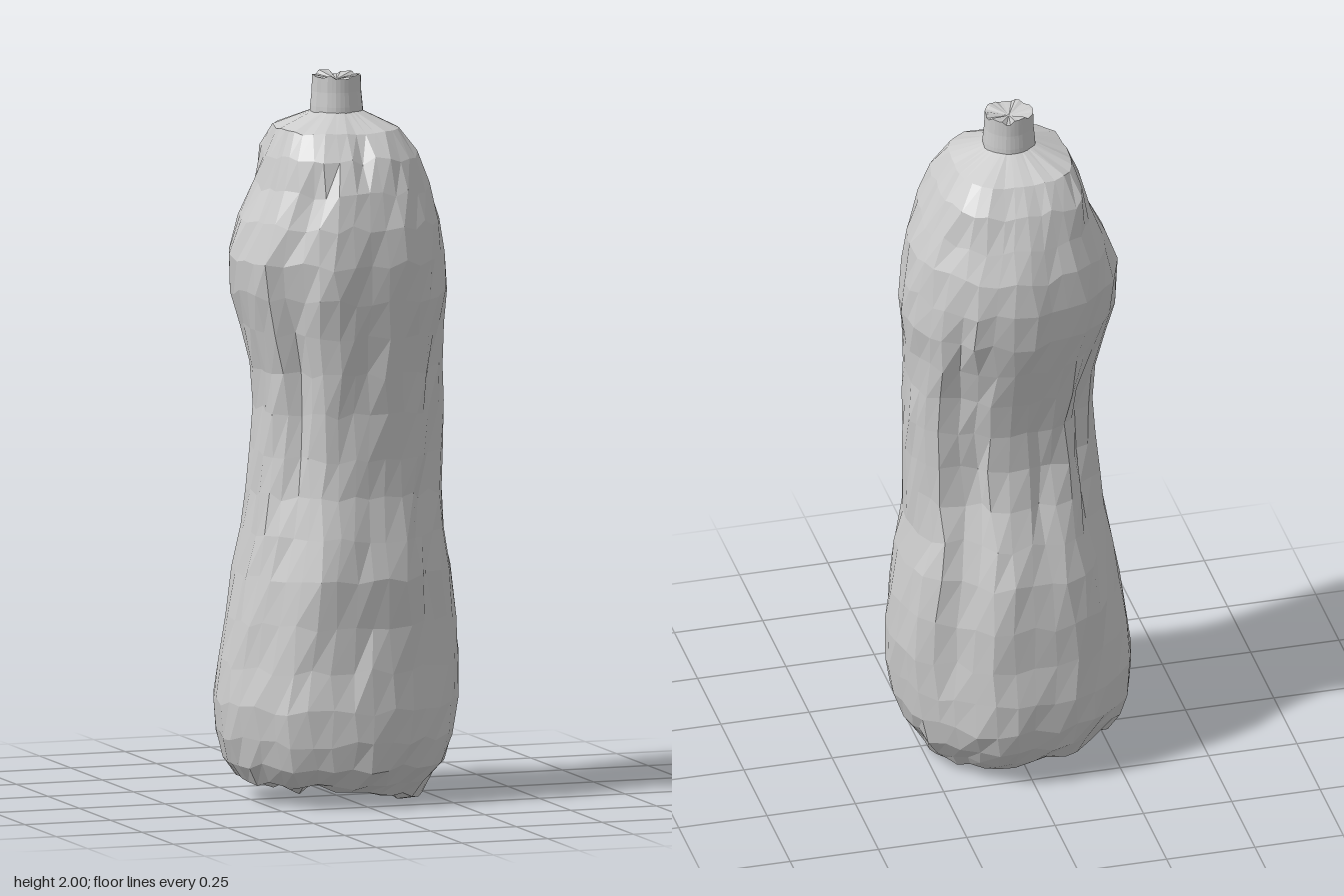
import * as THREE from 'three';

const SEG = 36;

// Repeatable noise in the range -1..1
function noise(a, b) {
  const s = Math.sin(a * 127.1 + b * 311.7) * 43758.5453;
  return (s - Math.floor(s)) * 2 - 1;
}

// Height, then reach to -x, +x, -z and +z
const SECTIONS = [
  [0.06, 0.275, 0.265, 0.25, 0.26],
  [0.11, 0.308, 0.30, 0.288, 0.298],
  [0.18, 0.333, 0.325, 0.312, 0.312],
  [0.27, 0.341, 0.335, 0.312, 0.312],
  [0.38, 0.325, 0.339, 0.302, 0.298],
  [0.50, 0.302, 0.327, 0.296, 0.29],
  [0.63, 0.277, 0.31, 0.282, 0.303],
  [0.74, 0.257, 0.292, 0.252, 0.285],
  [0.85, 0.242, 0.288, 0.217, 0.264],
  [0.96, 0.228, 0.29, 0.194, 0.252],
  [1.08, 0.222, 0.29, 0.2, 0.252],
  [1.19, 0.228, 0.286, 0.224, 0.257],
  [1.30, 0.255, 0.292, 0.25, 0.267],
  [1.40, 0.28, 0.302, 0.276, 0.281],
  [1.50, 0.29, 0.29, 0.288, 0.286],
  [1.60, 0.258, 0.276, 0.279, 0.28],
  [1.69, 0.215, 0.245, 0.245, 0.255],
  [1.78, 0.19, 0.20, 0.212, 0.213],
  [1.85, 0.162, 0.155, 0.165, 0.16],
  [1.9, 0.06, 0.06, 0.06, 0.06],
];

// Fold: angle, depth, sideways drift, lowest and highest y
const FOLDS = [
  [0.75, 0.036, 0.12, 0.1, 1.78], [2.35, 0.036, -0.12, 0.5, 1.8],
  [3.85, 0.03, 0.12, 0.3, 1.75], [5.45, 0.04, -0.12, 0.1, 1.8],
  [1.55, 0.012, 0.15, 0.4, 1.0], [4.6, 0.012, -0.15, 0.5, 1.3],
];

function foldDepth(angle, y) {
  let depth = 0;
  for (const [a, d, drift, lo, hi] of FOLDS) {
    if (y < lo || y > hi) continue;
    const diff = angle - a - drift * Math.sin(y * 2.6 + a);
    const wrapped = Math.atan2(Math.sin(diff), Math.cos(diff));
    const fade = Math.sin(((y - lo) / (hi - lo)) * Math.PI);
    depth += d * fade * Math.exp(-((wrapped / 0.17) ** 2));
  }
  return depth;
}

// Joins rings of SEG points, listed so that their faces look outwards
function loft(rings) {
  const index = [];
  for (let r = 0; r < rings.length - 1; r++) {
    for (let i = 0; i < SEG; i++) {
      const j = (i + 1) % SEG;
      const a = r * SEG + i, b = r * SEG + j;
      index.push(a, a + SEG, b, b, a + SEG, b + SEG);
    }
  }
  const geometry = new THREE.BufferGeometry();
  geometry.setAttribute('position', new THREE.Float32BufferAttribute(rings.flat(2), 3));
  geometry.setIndex(index);
  geometry.computeVertexNormals();
  return geometry;
}

const ring = (point) => Array.from({ length: SEG }, (_, i) => point((i / SEG) * Math.PI * 2, i));

// Rounded outline that grows squarer towards the shoulders
function bodyPoint([y, left, right, back, front], angle) {
  const c = Math.cos(angle), s = Math.sin(angle);
  const n = y > 1.87 ? 2 : y > 1.75 ? 3.2 : y > 0.9 ? 2.4 : y > 0.45 ? 2.2 : 2.05;
  const k = (Math.abs(c) ** n + Math.abs(s) ** n) ** (-1 / n);
  return [c * k * (c < 0 ? left : right), s * k * (s < 0 ? back : front)];
}

function bodyGeometry() {
  const rings = [];
  // Puckered hollow underneath
  for (const [scale, y] of [[0, 0.12], [0.25, 0.105], [0.5, 0.065], [0.72, 0.035], [0.9, 0.036]]) {
    rings.push(ring((angle, i) => {
      const [x, z] = bodyPoint(SECTIONS[0], angle);
      const pucker = scale * (1 - scale) * 0.12 * noise(i, 3);
      return [x * scale, Math.max(0, y - 0.1 * x * scale + pucker), z * scale];
    }));
  }
  // Creased sides and smoother shoulders
  SECTIONS.forEach((section, row) => {
    const y = section[0];
    const rough = y > 1.87 ? 0 : y > 1.8 ? 0.3 : 1;
    rings.push(ring((angle, i) => {
      const swirl = rough * 0.03 * noise(i, row);
      const [x, z] = bodyPoint(section, angle + swirl);
      const ripple = rough * (0.004 * Math.sin(angle * 9 + y * 2) + 0.005 * noise(i + 50, row));
      const k = 1 - (foldDepth(angle, y) - ripple) / Math.hypot(x, z);
      const lift = rough * 0.012 * noise(row + 9, i);
      return [x * k, Math.max(0, y + lift), z * k];
    }));
  });
  return loft(rings);
}

// Short stalk with an uneven, slightly sunken cut end
function stalkGeometry() {
  const profile = [[0.073, 1.87], [0.071, 1.91], [0.067, 1.95], [0.066, 1.993], [0.058, 1.992], [0, 1.98]];
  return loft(profile.map(([radius, y], row) => ring((angle, i) => {
    const side = Math.floor(i / 2);
    const r = radius * (1 + 0.03 * noise(side, 7));
    const rim = row === 3 || row === 4 ? 0.007 * noise(side, 3) : 0;
    return [r * Math.cos(angle), y + rim, r * 0.95 * Math.sin(angle)];
  })));
}

export function createModel() {
  const group = new THREE.Group();
  group.name = 'squash';
  const material = new THREE.MeshStandardMaterial({ color: 0xcccccc, flatShading: true });
  const add = (name, geometry) => {
    const mesh = new THREE.Mesh(geometry, material);
    mesh.name = name;
    group.add(mesh);
  };
  add('body', bodyGeometry());
  add('stalk', stalkGeometry());
  return group;
}
